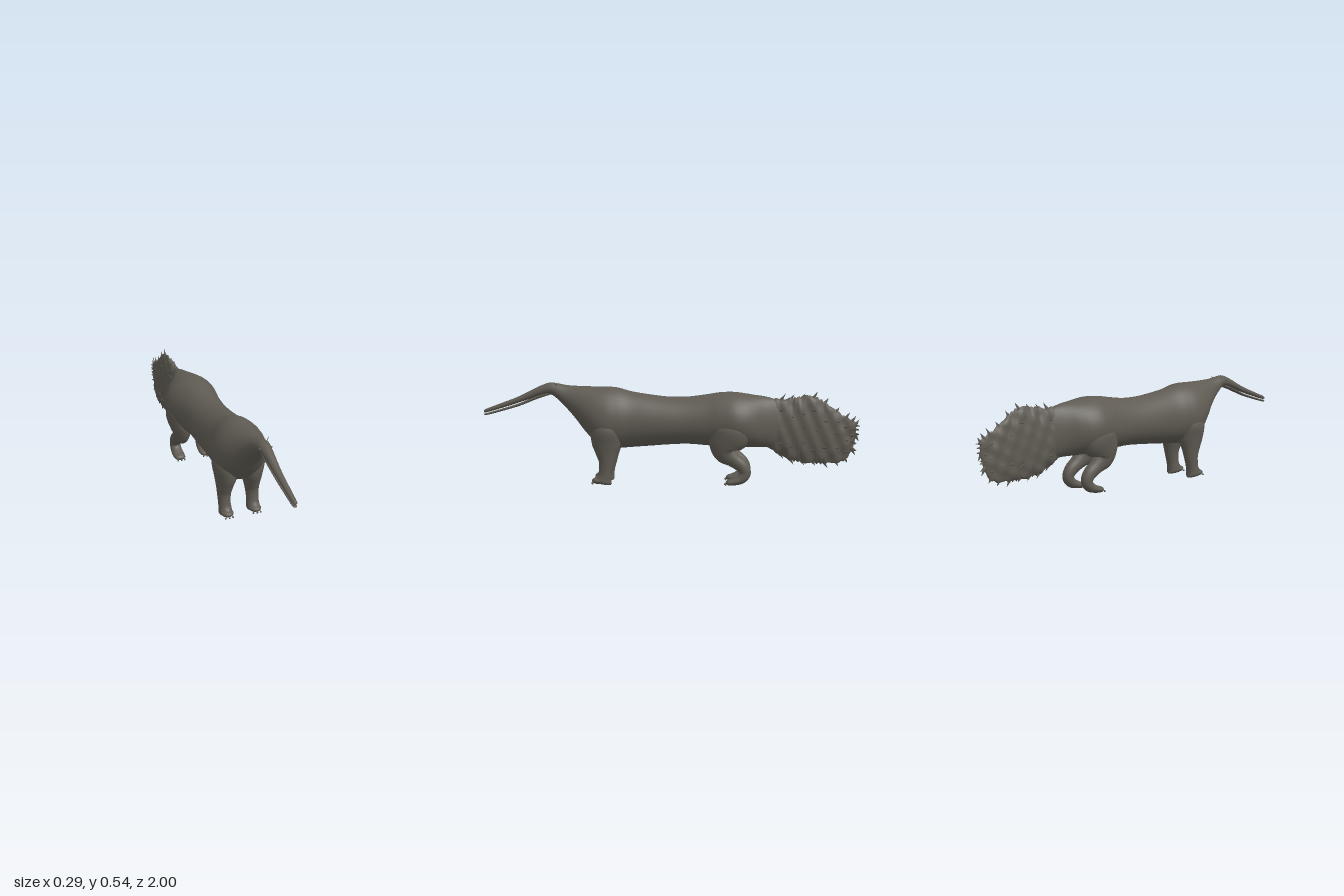
import * as THREE from 'three';

const fur = new THREE.MeshStandardMaterial({ color: 0x5f5b53 });
fur.name = 'greyBrownFur';

// Smooth skin through elliptical rings [x, y, z, halfWidth, halfDepth].
// upright keeps the rings vertical; otherwise they turn with the path. egg widens the lower half.
function loft(rings, { steps = 6, sides = 32, upright = true, egg = 0, rough = null } = {}) {
  const path = new THREE.CatmullRomCurve3(rings.map(r => new THREE.Vector3(r[0], r[1], r[2])), false, 'catmullrom', 0.5);
  const size = new THREE.CatmullRomCurve3(rings.map(r => new THREE.Vector3(r[3], r[4], 0)), false, 'catmullrom', 0.5);
  const n = (rings.length - 1) * steps;
  const pos = [], idx = [];
  for (let i = 0; i <= n; i++) {
    const c = path.getPoint(i / n), s = size.getPoint(i / n), d = path.getTangent(i / n);
    const len = Math.hypot(d.y, d.z) || 1;
    const vy = upright ? 1 : d.z / len, vz = upright ? 0 : -d.y / len;
    for (let j = 0; j < sides; j++) {
      const a = j / sides * Math.PI * 2;
      const p = new THREE.Vector3(
        Math.cos(a) * s.x * (1 - egg * Math.sin(a)),
        Math.sin(a) * s.y * vy, Math.sin(a) * s.y * vz).add(c);
      if (rough) rough(p, c);
      pos.push(p.x, p.y, p.z);
      if (i < n) {
        const k = i * sides, j2 = (j + 1) % sides;
        idx.push(k + j, k + j2, k + sides + j2, k + j, k + sides + j2, k + sides + j);
      }
    }
  }
  // End caps
  for (const [row, flip] of [[0, true], [n, false]]) {
    const c = path.getPoint(row / n), m = pos.length / 3;
    pos.push(c.x, c.y, c.z);
    for (let j = 0; j < sides; j++) {
      const a = row * sides + j, b = row * sides + (j + 1) % sides;
      idx.push(m, flip ? b : a, flip ? a : b);
    }
  }
  const g = new THREE.BufferGeometry();
  g.setAttribute('position', new THREE.Float32BufferAttribute(pos, 3));
  g.setIndex(idx);
  g.computeVertexNormals();
  return g;
}

// Rings from a side profile: [z, top, bottom, halfWidth]
const profile = rows => rows.map(([z, t, b, w]) => [0, (t + b) / 2, z, w, (t - b) / 2]);

export function createModel() {
  const model = new THREE.Group();
  model.name = 'anteater';
  const add = (name, geometry, parent = model) => {
    const m = new THREE.Mesh(geometry, fur);
    m.name = name;
    parent.add(m);
    return m;
  };

  // Body, neck, head and upper snout in one skin
  add('body', loft(profile([
    [-0.63, 0.38, 0.26, 0.012], [-0.59, 0.43, 0.21, 0.034], [-0.55, 0.455, 0.195, 0.052],
    [-0.5, 0.468, 0.197, 0.078], [-0.45, 0.475, 0.197, 0.112], [-0.4, 0.483, 0.198, 0.137],
    [-0.34, 0.49, 0.2, 0.147], [-0.27, 0.488, 0.2, 0.137], [-0.2, 0.477, 0.205, 0.124],
    [-0.1, 0.464, 0.212, 0.117], [0, 0.463, 0.208, 0.117], [0.1, 0.474, 0.2, 0.117],
    [0.2, 0.49, 0.192, 0.119], [0.27, 0.509, 0.186, 0.13], [0.33, 0.515, 0.186, 0.137],
    [0.39, 0.515, 0.214, 0.127], [0.45, 0.516, 0.278, 0.1], [0.5, 0.518, 0.343, 0.073],
    [0.55, 0.522, 0.4, 0.052], [0.6, 0.531, 0.45, 0.04], [0.64, 0.534, 0.472, 0.033],
    [0.7, 0.512, 0.462, 0.026], [0.8, 0.462, 0.428, 0.019], [0.9, 0.423, 0.396, 0.015],
    [0.98, 0.393, 0.373, 0.012], [0.995, 0.385, 0.375, 0.007],
  ]), { egg: 0.07 }));

  // Lower jaw, parted slightly from the snout
  add('lowerJaw', loft(profile([
    [0.64, 0.485, 0.468, 0.022], [0.7, 0.467, 0.449, 0.021], [0.8, 0.424, 0.409, 0.016],
    [0.9, 0.392, 0.379, 0.013], [0.98, 0.369, 0.358, 0.011], [0.995, 0.366, 0.36, 0.006],
  ]), { steps: 3, sides: 16 }));

  // Tall, thin, shaggy tail
  const shag = (p, c) => {
    const k = Math.min(1, Math.max(0, (-0.5 - p.z) / 0.1));
    const lump = Math.sin(p.z * 61 + p.y * 23) * Math.sin(p.y * 57 - p.z * 19);
    p.x += Math.sign(p.x - c.x) * 0.006 * k * lump * Math.min(1, Math.abs(p.x) * 80);
    p.y += (p.y - c.y) * 0.035 * k * Math.sin(p.z * 170 + Math.sin(p.z * 47) * 3);
  };
  const tailRows = [
    [-0.985, 0.33, 0.25, 0.004], [-0.965, 0.345, 0.18, 0.009], [-0.93, 0.36, 0.13, 0.013],
    [-0.88, 0.395, 0.115, 0.019], [-0.82, 0.44, 0.11, 0.025], [-0.76, 0.468, 0.113, 0.029],
    [-0.7, 0.466, 0.118, 0.033], [-0.64, 0.458, 0.128, 0.036], [-0.59, 0.455, 0.15, 0.04],
    [-0.54, 0.455, 0.185, 0.042], [-0.47, 0.44, 0.22, 0.04],
  ];
  const tail = new THREE.Group();
  tail.name = 'tail';
  model.add(tail);
  add('tailBrush', loft(profile(tailRows), { steps: 8, rough: shag }), tail);

  // Hair tufts along the tail edge, swept backward
  const tuft = (x, y, z, dx, dy, dz, r, h) => {
    const dir = new THREE.Vector3(dx, dy, dz).normalize();
    const m = add('hairTuft', new THREE.ConeGeometry(r, h, 7), tail);
    m.scale.x = 0.6;
    m.position.set(x, y, z).addScaledVector(dir, h * 0.25);
    m.quaternion.setFromUnitVectors(new THREE.Vector3(0, 1, 0), dir);
  };
  tailRows.slice(0, 9).forEach(([z, top, bottom, w], i) => {
    tuft(0, top - 0.008, z, 0, 1, -0.7, 0.013, 0.04 + 0.008 * (i % 3));
    tuft(0, bottom + 0.008, z, 0, -1, -0.6, 0.013, 0.036 + 0.008 * ((i + 1) % 3));
    // Short locks on the flanks
    for (const s of [-1, 1]) for (let k = 0; k < 3; k++) {
      const f = -0.5 + 0.5 * k + 0.12 * Math.sin(i * 2.3 + k);
      tuft(s * w * 0.8, (top + bottom) / 2 + f * (top - bottom) / 2, z, s * 0.35, -0.1, -1, 0.009, 0.03);
    }
  });
  for (let k = 0; k < 5; k++) tuft(0, 0.19 + k * 0.032, -0.968, 0, (k - 2) * 0.25, -1, 0.014, 0.035);

  // Legs, claws, eyes and ear hairs, mirrored
  for (const s of [-1, 1]) {
    const side = s > 0 ? 'left' : 'right';
    add(side + 'FrontLeg', loft([
      [s * 0.07, 0.36, 0.325, 0.045, 0.06], [s * 0.074, 0.29, 0.33, 0.064, 0.082],
      [s * 0.071, 0.22, 0.33, 0.056, 0.078], [s * 0.074, 0.17, 0.329, 0.045, 0.06],
      [s * 0.077, 0.12, 0.328, 0.036, 0.043], [s * 0.078, 0.07, 0.335, 0.032, 0.036],
      [s * 0.077, 0.04, 0.341, 0.033, 0.038], [s * 0.077, 0.018, 0.348, 0.034, 0.047],
      [s * 0.077, 0.005, 0.35, 0.029, 0.043],
    ], { upright: false, sides: 24 }));
    add(side + 'FrontFoot', new THREE.SphereGeometry(1, 20, 12))
      .scale.set(0.033, 0.018, 0.036);
    model.children.at(-1).position.set(s * 0.077, 0.021, 0.372);

    add(side + 'HindLeg', loft([
      [s * 0.085, 0.36, -0.335, 0.045, 0.07], [s * 0.084, 0.29, -0.325, 0.063, 0.105],
      [s * 0.08, 0.22, -0.3, 0.055, 0.092], [s * 0.078, 0.175, -0.3, 0.044, 0.062],
      [s * 0.077, 0.14, -0.34, 0.037, 0.041], [s * 0.077, 0.105, -0.385, 0.033, 0.035],
      [s * 0.077, 0.068, -0.402, 0.03, 0.031], [s * 0.077, 0.038, -0.383, 0.031, 0.027],
      [s * 0.077, 0.022, -0.345, 0.033, 0.02], [s * 0.077, 0.017, -0.315, 0.029, 0.015],
      [s * 0.077, 0.015, -0.303, 0.014, 0.007],
    ], { upright: false, sides: 24 }));

    // Three small claws per foot
    for (const z of [0.407, -0.297]) for (let k = -1; k <= 1; k++) {
      const claw = add(side + 'Claw', new THREE.SphereGeometry(0.005, 10, 8));
      claw.position.set(s * 0.077 + k * 0.02, 0.008, z - Math.abs(k) * 0.004);
    }

    add(side + 'Eye', new THREE.SphereGeometry(0.005, 12, 8)).position.set(s * 0.031, 0.506, 0.655);
    const hair = new THREE.QuadraticBezierCurve3(
      new THREE.Vector3(s * 0.022, 0.515, 0.61), new THREE.Vector3(s * 0.034, 0.518, 0.605),
      new THREE.Vector3(s * 0.041, 0.531, 0.595));
    add(side + 'EarHair', new THREE.TubeGeometry(hair, 8, 0.0016, 6));
  }
  return model;
}
